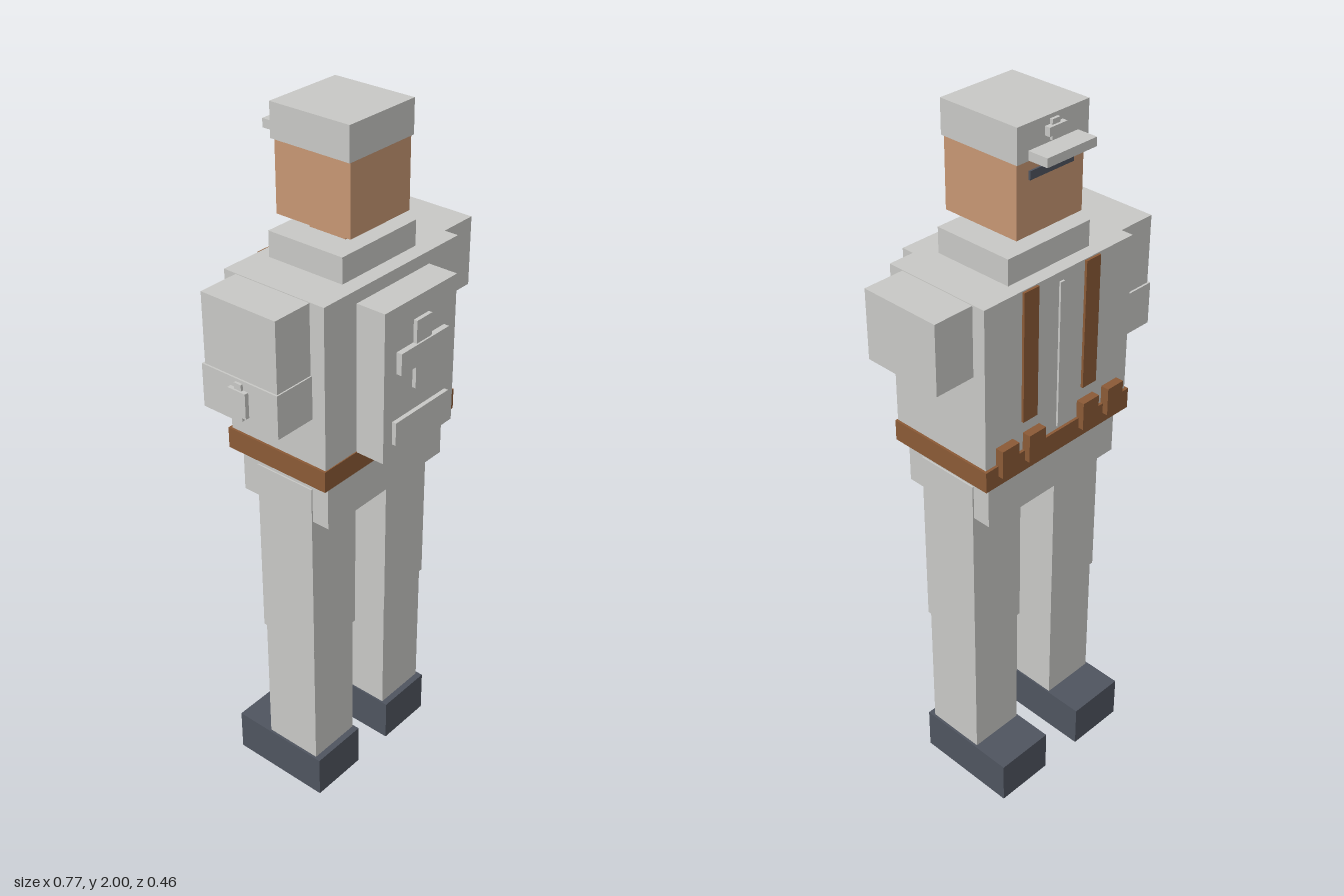
import * as THREE from 'three';

function material(name, color) {
  const m = new THREE.MeshStandardMaterial({ color });
  m.name = name;
  return m;
}

export function createModel() {
  const gray = material('uniform gray', 0xc8c8c5);
  const skin = material('skin', 0xc69673);
  const brown = material('leather brown', 0x8b5a36);
  const dark = material('dark slate', 0x4f545f);

  const model = new THREE.Group();
  model.name = 'figure';
  const MID = 0.0075; // the body's centre line

  // Box given by its limits on each axis
  function box(name, mat, [x0, x1], [y0, y1], [z0, z1]) {
    const mesh = new THREE.Mesh(new THREE.BoxGeometry(x1 - x0, y1 - y0, z1 - z0), mat);
    mesh.position.set((x0 + x1) / 2, (y0 + y1) / 2, (z0 + z1) / 2);
    mesh.name = name;
    model.add(mesh);
  }
  // Box centred on the body's centre line, plus an offset
  const mid = (name, mat, w, y, z, dx = 0) =>
    box(name, mat, [MID + dx - w / 2, MID + dx + w / 2], y, z);

  // Head and cap; the face looks towards -z
  mid('cap', gray, 0.235, [1.91, 2.0], [-0.155, 0.088]);
  mid('capPeak', gray, 0.163, [1.912, 1.935], [-0.213, -0.15]);
  mid('capBadgeBar', gray, 0.058, [1.955, 1.977], [-0.17, -0.15]);
  mid('capBadgePost', gray, 0.025, [1.94, 1.99], [-0.163, -0.15]);
  mid('head', skin, 0.222, [1.72, 1.91], [-0.148, 0.085]);
  mid('glasses', dark, 0.145, [1.86, 1.882], [-0.153, -0.146]);
  mid('neck', skin, 0.118, [1.68, 1.72], [-0.088, 0.026]);

  // Torso
  mid('collar', gray, 0.28, [1.61, 1.685], [-0.15, 0.084]);
  mid('torso', gray, 0.515, [1.165, 1.615], [-0.189, 0.128]);
  mid('zip', gray, 0.014, [1.175, 1.59], [-0.195, -0.186]);
  mid('belt', brown, 0.528, [1.105, 1.165], [-0.197, 0.131]);
  mid('hips', gray, 0.47, [0.97, 1.105], [-0.175, 0.115]);

  for (const side of [-1, 1]) {
    // Braces and belt pouches
    mid('brace', brown, 0.05, [1.25, 1.612], [-0.196, -0.186], side * 0.108);
    mid('innerPouch', brown, 0.058, [1.135, 1.215], [-0.213, -0.186], side * 0.099);
    mid('outerPouch', brown, 0.058, [1.135, 1.215], [-0.213, -0.186], side * 0.193);

    // Legs and shoes
    mid('upperLeg', gray, 0.174, [0.535, 1.07], [-0.122, 0.063], side * 0.152);
    mid('lowerLeg', gray, 0.164, [0.13, 0.535], [-0.117, 0.058], side * 0.152);
    mid('shoe', dark, 0.176, [0, 0.13], [-0.232, 0.077], side * 0.153);

    // Upper arms
    mid('upperArm', gray, 0.12, [1.42, 1.613], [-0.151, 0.084], side * 0.3155);
  }

  // Forearm with its wrist device, on one side only
  box('forearm', gray, [-0.373, -0.249], [1.3, 1.42], [-0.157, 0.088]);
  box('wristPlate', gray, [-0.385, -0.37], [1.325, 1.395], [-0.062, -0.005]);
  box('wristStrip', gray, [-0.38, -0.37], [1.31, 1.412], [-0.045, -0.022]);

  // Backpack with raised cross and lower panel
  mid('backpack', gray, 0.28, [1.163, 1.58], [0.125, 0.214]);
  mid('crossPost', gray, 0.059, [1.335, 1.522], [0.212, 0.225]);
  mid('crossBar', gray, 0.187, [1.4, 1.46], [0.212, 0.23]);
  mid('backpackPanel', gray, 0.212, [1.205, 1.27], [0.212, 0.226]);

  return model;
}
